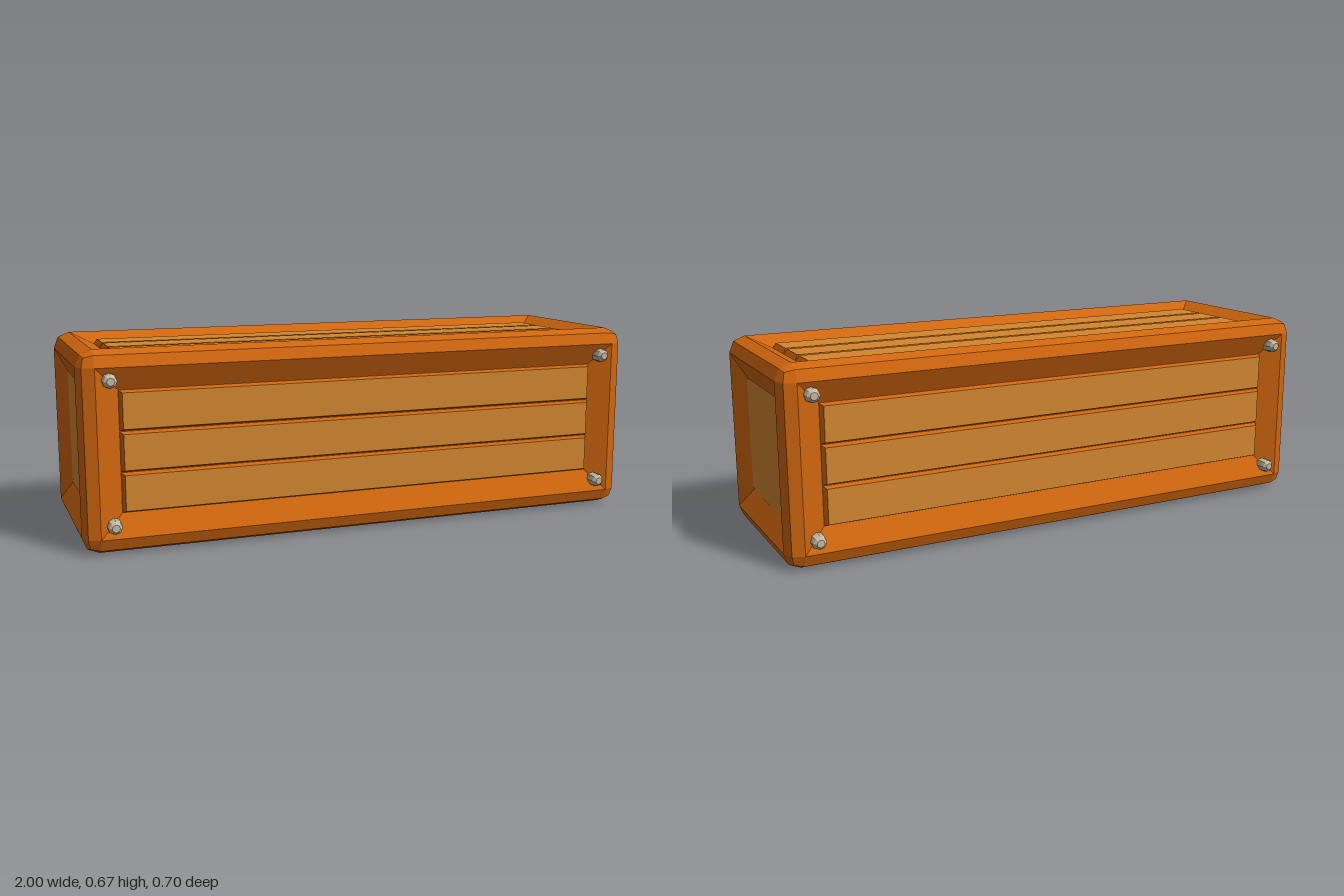
import * as THREE from 'three';
import { RoundedBoxGeometry } from 'three/addons/geometries/RoundedBoxGeometry.js';

const HX = 1, HY = 0.3325, HZ = 0.33, BEVEL = 0.055;
const DEPTH = 0.038;   // how far the panels are sunk
const SLOPE = 0.076;   // width of the sloping inner border
const RAISE = 0.018;   // plank thickness

export function createModel() {
  const frameMat = new THREE.MeshStandardMaterial({ color: 0xd0660e });
  frameMat.name = 'orangeFrame';
  const plankMat = new THREE.MeshStandardMaterial({ color: 0xd28630 });
  plankMat.name = 'tanWood';
  const boltMat = new THREE.MeshStandardMaterial({ color: 0xc4b8a0 });
  boltMat.name = 'paleMetal';

  const mesh = (name, geometry, material, parent) => {
    const m = new THREE.Mesh(geometry, material);
    m.name = name;
    parent.add(m);
    return m;
  };

  const fromTriangles = (positions) => {
    const g = new THREE.BufferGeometry();
    g.setAttribute('position', new THREE.Float32BufferAttribute(positions, 3));
    g.computeVertexNormals();
    return g;
  };

  // Four sloping sides joining an outer rectangle to an inner one
  const border = (w0, h0, z0, w1, h1, z1) => {
    const signs = [[-1, -1], [1, -1], [1, 1], [-1, 1]];
    const out = [];
    for (let i = 0; i < 4; i++) {
      const [ax, ay] = signs[i], [bx, by] = signs[(i + 1) % 4];
      const a = [ax * w0, ay * h0, z0], b = [bx * w0, by * h0, z0];
      const c = [bx * w1, by * h1, z1], d = [ax * w1, ay * h1, z1];
      out.push(...a, ...b, ...c, ...a, ...c, ...d);
    }
    return fromTriangles(out);
  };

  // Bevelled outer shell with the six flat faces left open
  const shell = () => {
    const box = new RoundedBoxGeometry(HX * 2, HY * 2, HZ * 2, 1, BEVEL);
    const p = box.attributes.position;
    const limit = [HX, HY, HZ], out = [];
    for (let i = 0; i < p.count; i += 3) {
      const tri = [0, 1, 2].map((k) => [p.getX(i + k), p.getY(i + k), p.getZ(i + k)]);
      const flat = limit.some((h, axis) =>
        [1, -1].some((s) => tri.every((v) => Math.abs(v[axis] - s * h) < 1e-4)));
      if (!flat) out.push(...tri.flat());
    }
    return fromTriangles(out);
  };

  const root = new THREE.Group();
  root.name = 'crate';
  const body = new THREE.Group();
  body.name = 'crateBody';
  body.position.y = HY;
  root.add(body);
  mesh('outerFrame', shell(), frameMat, body);

  // Sunken panel, built facing +z and then turned to its side
  const addSide = (name, halfW, halfH, dist, rx, ry) => {
    const side = new THREE.Group();
    side.name = name;
    side.rotation.set(rx, ry, 0);
    body.add(side);
    const w = halfW - BEVEL, h = halfH - BEVEL;
    const iw = w - SLOPE, ih = h - SLOPE, floor = dist - DEPTH;
    mesh('innerBorder', border(w, h, dist, iw, ih, floor), frameMat, side);
    mesh('panelFloor', new THREE.PlaneGeometry(iw * 2, ih * 2), frameMat, side).position.z = floor;
    return { side, iw, ih, floor };
  };

  // Long sides: three raised planks with bevelled edges
  const longSides = [
    ['front', HY, HZ, 0, 0], ['back', HY, HZ, 0, Math.PI],
    ['top', HZ, HY, -Math.PI / 2, 0], ['bottom', HZ, HY, Math.PI / 2, 0],
  ];
  const boltProfile = [[0.024, -0.04], [0.025, 0], [0.022, 0.013], [0.013, 0.022], [0, 0.022]]
    .map(([x, y]) => new THREE.Vector2(x, y));
  const boltGeo = new THREE.LatheGeometry(boltProfile, 8).toNonIndexed();
  boltGeo.computeVertexNormals();
  boltGeo.rotateX(Math.PI / 2);

  for (const [name, halfH, dist, rx, ry] of longSides) {
    const { side, iw, ih, floor } = addSide(name + 'Side', HX, halfH, dist, rx, ry);
    const pitch = ih * 2 / 3, hh = pitch / 2;
    for (let i = -1; i <= 1; i++) {
      const edge = mesh('plankEdge', border(iw, hh - 0.001, 0, iw - 0.01, hh - 0.008, RAISE), frameMat, side);
      edge.position.set(0, i * pitch, floor);
      const face = mesh('plank', new THREE.PlaneGeometry((iw - 0.01) * 2, (hh - 0.008) * 2), plankMat, side);
      face.position.set(0, i * pitch, floor + RAISE);
    }
    // Corner bolts on the front and back
    if (rx === 0) {
      for (const sx of [-1, 1]) for (const sy of [-1, 1]) {
        mesh('bolt', boltGeo, boltMat, side).position.set(sx * 0.9, sy * 0.236, dist);
      }
    }
  }

  // Ends: one flat panel with clipped corners
  for (const [name, ry] of [['left', Math.PI / 2], ['right', -Math.PI / 2]]) {
    const { side, iw, ih, floor } = addSide(name + 'End', HZ, HY, HX, 0, ry);
    const c = 0.014;
    const shape = new THREE.Shape([
      [-iw + c, -ih], [iw - c, -ih], [iw, -ih + c], [iw, ih - c],
      [iw - c, ih], [-iw + c, ih], [-iw, ih - c], [-iw, -ih + c],
    ].map(([x, y]) => new THREE.Vector2(x, y)));
    mesh('endPanel', new THREE.ShapeGeometry(shape), plankMat, side).position.z = floor + 0.002;
  }
  return root;
}
